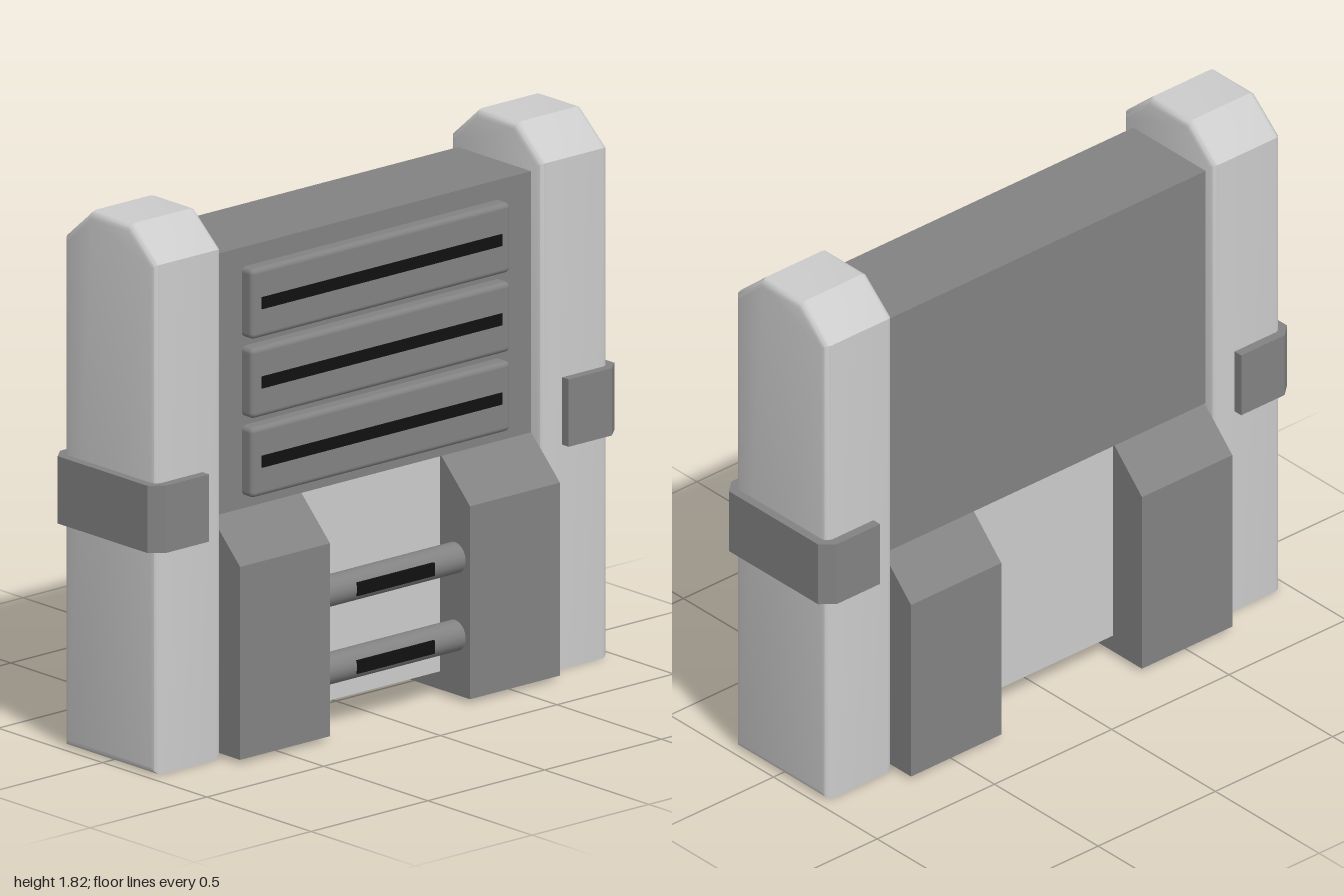
import * as THREE from 'three';
import { toCreasedNormals } from 'three/addons/utils/BufferGeometryUtils.js';
import { RoundedBoxGeometry } from 'three/addons/geometries/RoundedBoxGeometry.js';

const light = new THREE.MeshStandardMaterial({ color: 0xcccccc });
const dark = new THREE.MeshStandardMaterial({ color: 0x828282 });
const black = new THREE.MeshStandardMaterial({ color: 0x111111 });

function add(parent, name, geometry, material, x = 0, y = 0, z = 0) {
  const mesh = new THREE.Mesh(geometry, material);
  mesh.name = name;
  mesh.position.set(x, y, z);
  parent.add(mesh);
  return mesh;
}

// Box given by its limits on each axis
function addBox(parent, name, material, [x0, x1], [y0, y1], [z0, z1]) {
  const geometry = new THREE.BoxGeometry(x1 - x0, y1 - y0, z1 - z0);
  return add(parent, name, geometry, material, (x0 + x1) / 2, (y0 + y1) / 2, (z0 + z1) / 2);
}

// Extrudes a profile to a total depth, keeping its outline when bevelled
function extrude(points, depth, bevel = 0) {
  const shape = new THREE.Shape(points.map(([x, y]) => new THREE.Vector2(x, y)));
  const geometry = new THREE.ExtrudeGeometry(shape, {
    depth: depth - 2 * bevel, bevelEnabled: bevel > 0, bevelSize: bevel,
    bevelThickness: bevel, bevelOffset: -bevel, bevelSegments: 3,
  });
  geometry.translate(0, 0, bevel - depth / 2);
  return toCreasedNormals(geometry, 0.6);
}

// Side profile with both top corners cut, extruded along x
function choppedBlock(half, bottom, shoulder, top, topHalf, width, bevel) {
  return extrude([
    [-half, bottom], [half, bottom], [half, shoulder],
    [topHalf, top], [-topHalf, top], [-half, shoulder],
  ], width, bevel).rotateY(Math.PI / 2);
}

// Pillar, strap and foot block of one side
function createSide(name) {
  const side = new THREE.Group();
  side.name = name;
  add(side, 'pillar', choppedBlock(0.222, 0, 1.705, 1.815, 0.095, 0.286, 0.025), light, 0.827);
  add(side, 'footBlock', choppedBlock(0.307, 0.015, 0.66, 0.797, 0.17, 0.385, 0), dark, 0.4925);
  const strap = extrude([
    [0.77, -0.254], [0.955, -0.254], [1, -0.215],
    [1, 0.215], [0.955, 0.254], [0.77, 0.254],
  ], 0.225).rotateX(-Math.PI / 2);
  add(side, 'strap', strap, dark, 0, 0.8625);
  return side;
}

export function createModel() {
  const model = new THREE.Group();
  model.name = 'ventedUnit';

  // Both sides; the far one is turned half round
  const left = createSide('leftSide');
  const right = createSide('rightSide');
  right.rotation.y = Math.PI;
  model.add(left, right);

  // Main panel and the lower plate between the foot blocks
  addBox(model, 'mainPanel', dark, [-0.69, 0.69], [0.797, 1.67], [-0.18, 0.17]);
  addBox(model, 'lowerPlate', light, [-0.302, 0.302], [0.075, 0.8], [-0.168, 0.162]);

  // Three raised vents, each with a long slot
  for (const y of [0.957, 1.222, 1.487]) {
    const vent = new THREE.Group();
    vent.name = 'vent';
    vent.position.y = y;
    model.add(vent);
    add(vent, 'ventFrame', new RoundedBoxGeometry(1.11, 0.235, 0.1, 3, 0.018), dark, 0, 0, 0.17);
    addBox(vent, 'ventSlot', black, [-0.515, 0.515], [-0.02, 0.02], [0.16, 0.223]);
  }

  // Two cross bars with short slots
  for (const y of [0.213, 0.473]) {
    const bar = new THREE.Group();
    bar.name = 'crossBar';
    bar.position.set(0, y, 0.235);
    model.add(bar);
    add(bar, 'bar', new THREE.CylinderGeometry(0.051, 0.051, 0.604, 32).rotateZ(Math.PI / 2), dark);
    addBox(bar, 'barSlot', black, [-0.165, 0.165], [-0.022, 0.022], [0, 0.054]);
  }
  return model;
}
